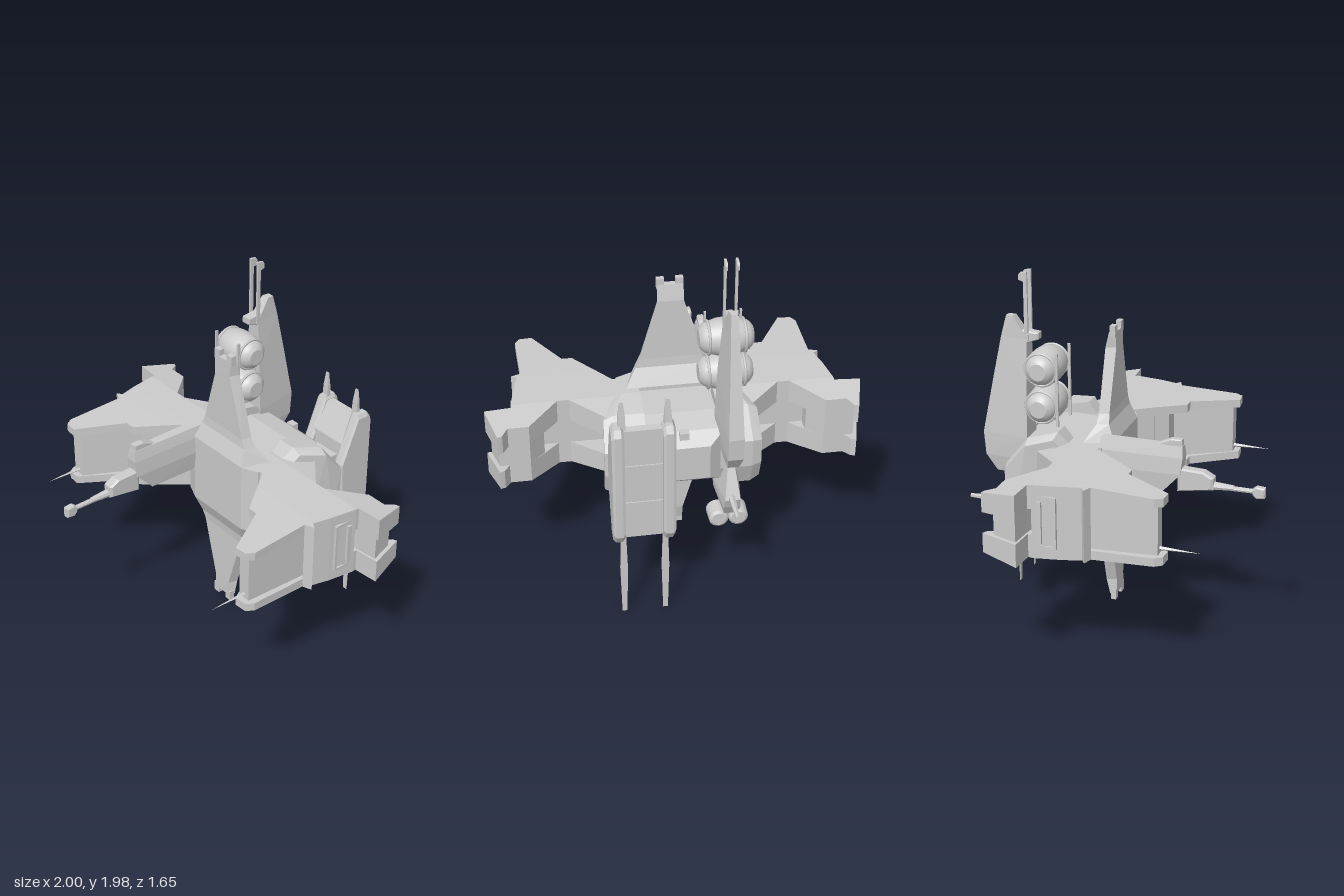
import * as THREE from 'three';
import { toCreasedNormals } from 'three/addons/utils/BufferGeometryUtils.js';
import { ConvexGeometry } from 'three/addons/geometries/ConvexGeometry.js';

const flat = new THREE.MeshStandardMaterial({ color: 0xcccccc, flatShading: true });
const smooth = new THREE.MeshStandardMaterial({ color: 0xcccccc });

export function createModel() {
  const root = new THREE.Group();
  root.name = 'spacecraft';

  const add = (name, geo, mat = flat) => {
    const m = new THREE.Mesh(geo, mat);
    m.name = name;
    root.add(m);
  };
  const hull = (name, pts) => add(name, new ConvexGeometry(pts.map(p => new THREE.Vector3(...p))));
  const box = (name, w, h, d, x, y, z) => add(name, new THREE.BoxGeometry(w, h, d).translate(x, y, z));
  // Outline [x, z] extruded upward; heights shrink toward the nose and the tail
  const plan = (name, pts, y0, y1, s) => {
    const shape = new THREE.Shape(pts.map(([x, z]) => new THREE.Vector2(x * s, -z)));
    const g = new THREE.ExtrudeGeometry(shape, { depth: y1 - y0, bevelEnabled: false });
    g.rotateX(-Math.PI / 2).translate(0, y0, 0);
    const p = g.attributes.position;
    for (let i = 0; i < p.count; i++) {
      const z = p.getZ(i);
      const k = 1 - 0.22 * Math.max(0, z) - 0.8 * Math.max(0, -0.22 - z);
      p.setY(i, 0.87 + (p.getY(i) - 0.87) * k);
    }
    g.computeVertexNormals();
    add(name, g);
  };
  // Convex side profile [z, y] with chamfered flanks: full size to +-w0, shrunk by k at +-w1
  const slab = (name, prof, x, w0, w1, k) => {
    const cz = prof.reduce((a, p) => a + p[0], 0) / prof.length;
    const cy = prof.reduce((a, p) => a + p[1], 0) / prof.length;
    const pts = [];
    for (const s of [-1, 1]) for (const [z, y] of prof) {
      pts.push([x + s * w0, y, z], [x + s * w1, cy + (y - cy) * k, cz + (z - cz) * k]);
    }
    hull(name, pts);
  };
  // Chain of trapezoid sections [y, halfFront, zFront, halfBack, zBack]
  const stack = (name, secs, x = 0) => {
    const ring = ([y, wf, zf, wb, zb]) => [[x - wf, y, zf], [x + wf, y, zf], [x + wb, y, zb], [x - wb, y, zb]];
    for (let i = 1; i < secs.length; i++) hull(name, [...ring(secs[i - 1]), ...ring(secs[i])]);
  };

  // Central block and the tall shields above and below it
  const block = [];
  for (const y of [0.67, 1.07]) for (const s of [-1, 1]) {
    block.push([s * 0.2, y, -0.01], [s * 0.29, y, -0.05], [s * 0.3, y, -0.165]);
  }
  hull('centralBlock', block);
  const shield = [[1.07, 0.2, -0.01, 0.25, -0.165], [1.16, 0.175, -0.045, 0.19, -0.11],
    [1.21, 0.155, -0.05, 0.165, -0.105], [1.55, 0.055, -0.045, 0.07, -0.1], [1.635, 0.06, -0.045, 0.07, -0.08]];
  for (const s of [-1, 1]) {
    stack(s > 0 ? 'upperShield' : 'lowerShield', shield.map(([y, ...r]) => [0.87 + s * (y - 0.87), ...r]));
    for (const x of [-0.05, 0.05]) box('shieldProng', 0.04, 0.06, 0.03, x, 0.87 + s * 0.77, -0.061);
  }

  // Rear hull with tapered tail
  const body = [];
  for (const s of [-1, 1]) for (const [x, z, h] of [[0.36, -0.18, 0.19], [0.33, -0.4, 0.19], [0.22, -0.53, 0.16], [0.13, -0.6, 0.1]]) {
    body.push([s * x, 0.87 + h, z], [s * x, 0.87 - h, z]);
  }
  hull('rearHull', body);
  box('hullSensor', 0.05, 0.04, 0.04, 0, 1.02, -0.55);

  // Outlines of one wing: full-height bar, pod plates and recessed pod core, swept rear section
  const bar = [[0.18, -0.06], [0.31, -0.06], [0.38, 0.03], [0.77, 0.03], [0.79, 0.07], [0.84, 0.05], [0.81, 0.03],
    [0.835, -0.07], [0.86, -0.22], [0.18, -0.22]];
  const podPlate = [[0.38, 0.03], [0.5, 0.19], [0.555, 0.19], [0.7, 0.445], [0.77, 0.44], [0.795, 0.4], [0.79, 0.07], [0.77, 0.03]];
  const podCore = [[0.38, 0.02], [0.44, 0.1], [0.54, 0.1], [0.69, 0.41], [0.76, 0.41], [0.765, 0.02]];
  const rear = [[0.18, -0.22], [0.86, -0.22], [0.86, -0.24], [1, -0.25], [0.945, -0.45], [0.92, -0.44], [0.89, -0.39],
    [0.78, -0.39], [0.62, -0.22], [0.555, -0.22], [0.35, -0.4], [0.18, -0.4]];
  const rearTip = [[0.7, -0.23], [0.86, -0.25], [0.975, -0.26], [0.94, -0.39], [0.78, -0.39], [0.7, -0.3]];
  const flank = [[-0.22, 1.04], [-0.29, 1.13], [-0.44, 1.1], [-0.56, 0.95], [-0.56, 0.79], [-0.51, 0.655], [-0.35, 0.61], [-0.25, 0.67]];
  for (const s of [-1, 1]) {
    const side = s > 0 ? 'left' : 'right';
    plan(side + 'WingBar', bar, 0.67, 1.07, s);
    plan(side + 'PodTopPlate', podPlate, 1.02, 1.07, s);
    plan(side + 'PodBottomPlate', podPlate, 0.67, 0.72, s);
    plan(side + 'PodCore', podCore, 0.71, 1.03, s);
    plan(side + 'RearWingTop', rear, 0.94, 1.07, s);
    plan(side + 'RearWingBottom', rear, 0.67, 0.8, s);
    plan(side + 'RearWingTip', rearTip, 0.79, 0.95, s);
    // Side vent with rail
    for (const z of [-0.1, -0.2]) box(side + 'VentFrame', 0.03, 0.28, 0.015, s * 0.84, 0.87, z);
    for (const y of [0.735, 1.005]) box(side + 'VentFrame', 0.03, 0.015, 0.1, s * 0.84, y, -0.15);
    box(side + 'VentRail', 0.03, 0.23, 0.025, s * 0.85, 0.87, -0.18);
    // Nose needle
    add(side + 'NoseNeedle', new THREE.ConeGeometry(0.012, 0.22, 4).rotateX(Math.PI / 2).translate(s * 0.725, 0.76, 0.51));
    // Flank armour, widening toward the tail
    const armour = [];
    for (const [z, y] of flank) {
      const out = Math.min(0.41, 0.32 + 0.4 * (-z - 0.24));
      armour.push([s * 0.19, y, z], [s * (out - 0.05), y, z], [s * out, 0.87 + (y - 0.87) * 0.88, -0.4 + (z + 0.4) * 0.9]);
    }
    hull(side + 'FlankArmour', armour);
  }

  // Gun beside the right shoulder
  const gx = -0.24;
  stack('gunBody', [[0.86, 0.035, 0.28, 0.04, -0.06], [0.97, 0.043, 0.38, 0.052, -0.06],
    [1.06, 0.036, 0.39, 0.045, -0.06], [1.12, 0.022, 0.385, 0.03, -0.06]], gx);
  slab('gunSight', [[0.32, 1.155], [0.38, 1.155], [0.385, 1.1], [0.2, 1.1]], gx, 0.014, 0.02, 0.8);
  slab('gunHousing', [[0.36, 1.0], [0.5, 0.995], [0.555, 0.965], [0.555, 0.9], [0.36, 0.87]], gx, 0.022, 0.033, 0.85);
  add('gunShroud', new THREE.CylinderGeometry(0.015, 0.024, 0.12, 8).rotateX(Math.PI / 2).translate(gx, 0.918, 0.6));
  add('gunBarrel', new THREE.CylinderGeometry(0.013, 0.015, 0.32, 8).rotateX(Math.PI / 2).translate(gx, 0.915, 0.65));
  slab('gunMuzzle', [[0.76, 0.9], [0.78, 0.88], [0.825, 0.885], [0.825, 0.94], [0.78, 0.945], [0.76, 0.93]], gx, 0.014, 0.02, 0.8);

  // Tall rear fin with twin antennas
  stack('rearFin', [[1.735, 0.024, -0.54, 0.018, -0.58], [1.62, 0.035, -0.46, 0.022, -0.61], [1.38, 0.055, -0.46, 0.03, -0.66],
    [1.08, 0.068, -0.46, 0.04, -0.72], [0.95, 0.06, -0.48, 0.04, -0.71], [0.86, 0.035, -0.54, 0.03, -0.65]], gx);
  box('finMount', 0.09, 0.14, 0.16, gx, 1.0, -0.5);
  slab('antennaBase', [[-0.4, 1.655], [-0.4, 1.62], [-0.5, 1.58], [-0.5, 1.665]], gx, 0.022, 0.028, 0.8);
  for (const x of [-0.268, -0.21]) {
    box('antenna', 0.012, 0.36, 0.02, x, 1.79, -0.464);
    slab('antennaTip', [[-0.454, 1.98], [-0.49, 1.975], [-0.5, 1.96], [-0.5, 1.935], [-0.454, 1.92]], x, 0.006, 0.0065, 0.95);
  }

  // Twin drums held by straps
  const drum = [[0, -0.14], [0.045, -0.14], [0.06, -0.13], [0.075, -0.115], [0.085, -0.085], [0.097, -0.045], [0.1, 0]];
  const drumProfile = [...drum, ...drum.slice(0, -1).reverse().map(([r, h]) => [r, -h])].map(p => new THREE.Vector2(...p));
  for (const y of [1.275, 1.48]) {
    const g = toCreasedNormals(new THREE.LatheGeometry(drumProfile, 28), 0.5);
    add('drum', g.rotateZ(Math.PI / 2).translate(-0.24, y, -0.365), smooth);
    for (const x of [-0.333, -0.147]) {
      add('drumStrap', new THREE.TorusGeometry(0.086, 0.008, 6, 28).rotateY(Math.PI / 2).translate(x, y, -0.365), smooth);
    }
  }
  for (const x of [-0.333, -0.147]) box('drumRail', 0.012, 0.4, 0.015, x, 1.377, -0.275);

  // Rear left pack: recessed panel between two side plates
  slab('packPanel', [[-0.68, 1.2], [-0.725, 1.2], [-0.725, 0.53], [-0.68, 0.53], [-0.6, 0.65], [-0.6, 1.05]], 0.235, 0.13, 0.14, 0.97);
  for (const y of [0.75, 0.98]) box('packRib', 0.24, 0.015, 0.02, 0.235, y, -0.722);
  box('packMount', 0.16, 0.2, 0.14, 0.235, 0.87, -0.54);
  const sidePlate = [[-0.67, 1.225], [-0.74, 1.225], [-0.765, 1.19], [-0.765, 0.56], [-0.73, 0.505], [-0.67, 0.505], [-0.57, 0.75], [-0.56, 0.95]];
  for (const x of [0.105, 0.365]) {
    slab('packSidePlate', sidePlate, x, 0.018, 0.032, 0.94);
    // Hanging blade and upper spike
    const bx = x < 0.2 ? 0.12 : 0.34;
    stack('hangingBlade', [[0.56, 0.012, -0.69, 0.012, -0.705], [0.3, 0.02, -0.69, 0.02, -0.702], [0, 0.013, -0.696, 0.013, -0.699]], bx);
    stack('upperSpike', [[1.18, 0.02, -0.685, 0.02, -0.715], [1.28, 0.018, -0.69, 0.018, -0.708], [1.36, 0.01, -0.698, 0.01, -0.702]],
      x < 0.2 ? 0.108 : 0.34);
  }

  // Lower right equipment pod with twin thrusters
  stack('equipmentPod', [[0.82, 0.02, -0.54, 0.02, -0.6], [0.66, 0.07, -0.45, 0.04, -0.67], [0.6, 0.065, -0.45, 0.045, -0.65],
    [0.53, 0.04, -0.48, 0.035, -0.61]], gx);
  add('podRod', new THREE.CylinderGeometry(0.012, 0.02, 0.2, 6).rotateX(-Math.PI / 2).translate(-0.235, 0.67, -0.73));
  const thruster = [[0, -0.055], [0.038, -0.055], [0.052, -0.045], [0.055, 0.02], [0.055, 0.045], [0.045, 0.055], [0.04, 0.045], [0, 0.045]]
    .map(p => new THREE.Vector2(...p));
  for (const x of [-0.29, -0.185]) {
    const g = toCreasedNormals(new THREE.LatheGeometry(thruster, 20), 0.5);
    add('thruster', g.rotateX(Math.PI / 2).translate(x, 0.475, -0.535), smooth);
  }
  return root;
}
